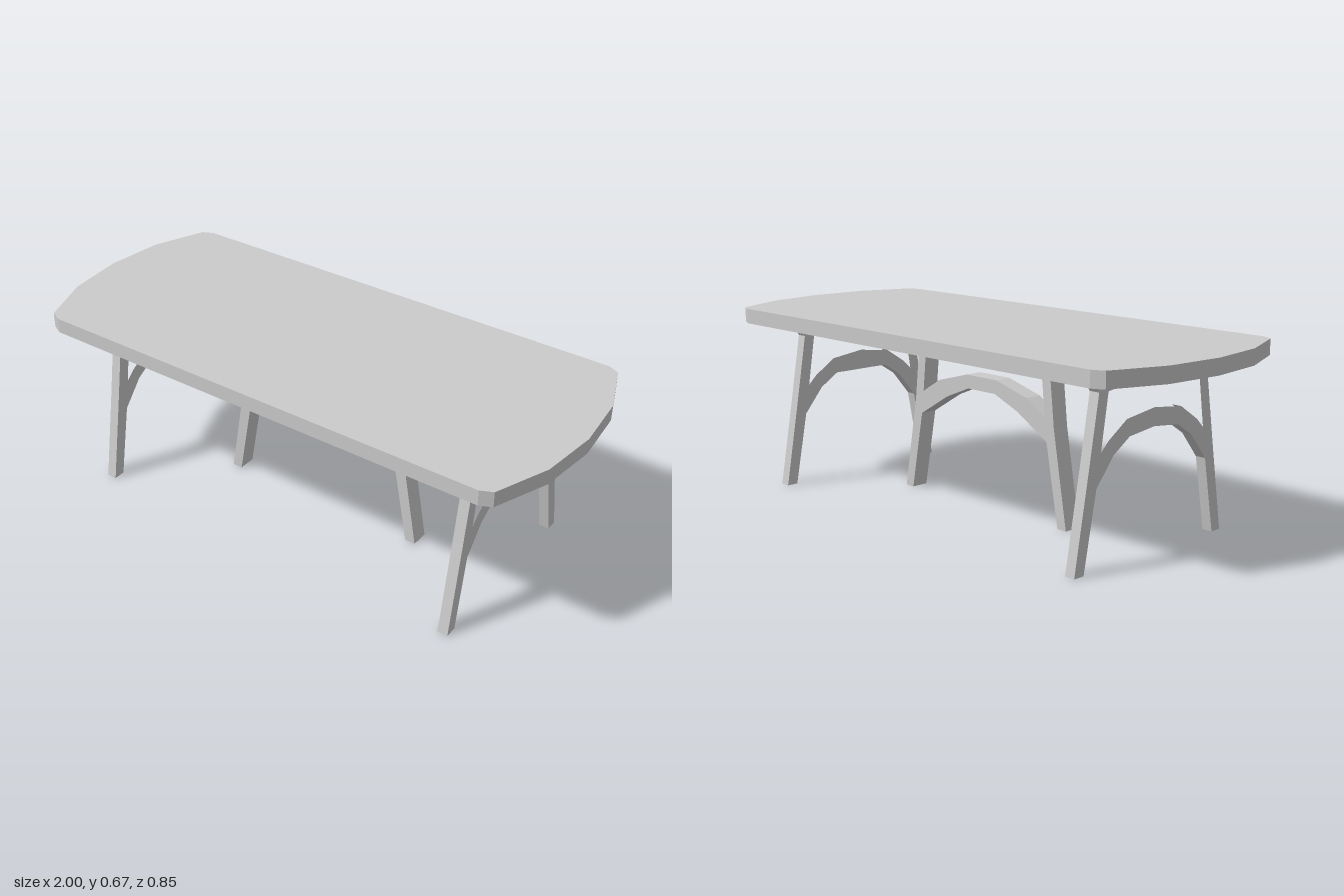
import * as THREE from 'three';

const material = new THREE.MeshStandardMaterial({ color: 0xcccccc, flatShading: true });

// Completes half an outline by reflecting it across the vertical axis.
const mirrored = (half) => [
  ...half,
  ...half.filter(([x]) => x !== 0).reverse().map(([x, y]) => [-x, y]),
].map(([x, y]) => new THREE.Vector2(x, y));

// Flat slab cut from an outline, centred on its thickness.
function slab(outline, depth, hole) {
  const shape = new THREE.Shape(outline);
  if (hole) shape.holes.push(new THREE.Path(hole));
  return new THREE.ExtrudeGeometry(shape, { depth, bevelEnabled: false }).translate(0, 0, -depth / 2);
}

function addMesh(group, geometry, name) {
  const mesh = new THREE.Mesh(geometry, material);
  mesh.name = name;
  group.add(mesh);
  return mesh;
}

// End frame: splayed legs, top bar and arched brace in one piece.
function endFrameGeometry(side) {
  const outer = mirrored([
    [0.303, 0.617], [0.268, 0.567], [0.308, 0.335], [0.368, 0], [0.325, 0],
    [0.273, 0.267], [0.195, 0.36], [0.12, 0.407], [0, 0.42],
  ]);
  const opening = mirrored([
    [0.035, 0.587], [0.225, 0.565], [0.255, 0.377], [0.22, 0.41], [0.135, 0.465], [0, 0.482],
  ]);
  const geometry = slab(outer, 0.038, opening).rotateY(Math.PI / 2);
  // The underside of the arch slopes down towards the inner face.
  const p = geometry.attributes.position;
  for (let i = 0; i < p.count; i++) {
    if (Math.abs(p.getZ(i)) < 0.001 && p.getY(i) < 0.43 && p.getX(i) * side < 0) p.setY(i, 0.407);
  }
  geometry.computeVertexNormals();
  return geometry;
}

export function createModel() {
  const table = new THREE.Group();
  table.name = 'table';

  // Tabletop with bowed ends and clipped corners
  const top = mirrored([
    [0.86, 0.427], [0.902, 0.407], [0.977, 0.213], [1, 0.0001],
    [0.977, -0.213], [0.902, -0.407], [0.86, -0.427],
  ]);
  addMesh(table, slab(top, 0.055).rotateX(-Math.PI / 2), 'tabletop').position.y = 0.6445;

  // Frames at both ends
  for (const side of [-1, 1]) {
    addMesh(table, endFrameGeometry(side), side > 0 ? 'leftEndFrame' : 'rightEndFrame').position.x = side * 0.738;
  }

  // Long rail under the top
  addMesh(table, new THREE.BoxGeometry(1.44, 0.03, 0.066), 'rail').position.y = 0.602;

  // Middle frame: two kinked legs joined by an arch
  const middle = mirrored([
    [0.075, 0.476], [0.223, 0.435], [0.31, 0.382], [0.289, 0.588], [0.328, 0.588], [0.353, 0.35],
    [0.414, 0], [0.375, 0], [0.32, 0.296], [0.18, 0.38], [0.068, 0.426],
  ]);
  addMesh(table, slab(middle, 0.066), 'middleFrame');

  return table;
}
